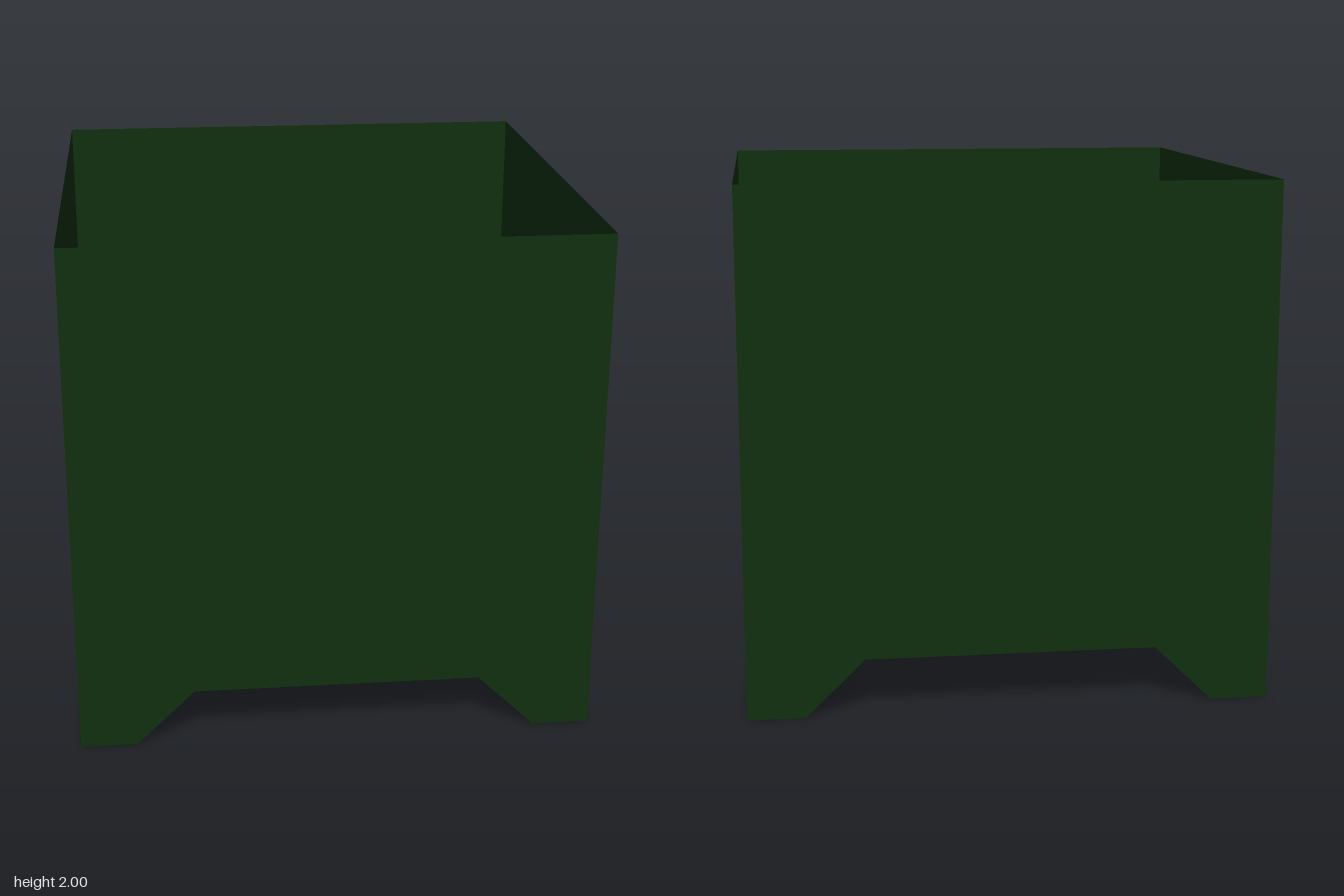
import * as THREE from 'three';

const INNER = 0.555; // where a foot meets the floor
const SOLE = 0.78;   // inner edge of the flat sole
const FLOOR = 0.22;  // floor height

// Four-cornered faces, each with a single normal taken from its diagonals
function quadGeometry(quads) {
  const positions = [], normals = [], index = [];
  quads.forEach((quad, i) => {
    const [p0, p1, p2, p3] = quad.map((p) => new THREE.Vector3(...p));
    const n = p2.clone().sub(p0).cross(p3.clone().sub(p1)).normalize();
    for (const p of [p0, p1, p2, p3]) {
      positions.push(p.x, p.y, p.z);
      normals.push(n.x, n.y, n.z);
    }
    const k = i * 4;
    index.push(k, k + 1, k + 2, k, k + 2, k + 3);
  });
  const geometry = new THREE.BufferGeometry();
  geometry.setAttribute('position', new THREE.Float32BufferAttribute(positions, 3));
  geometry.setAttribute('normal', new THREE.Float32BufferAttribute(normals, 3));
  geometry.setIndex(index);
  return geometry;
}

const outline = (points) =>
  new THREE.ShapeGeometry(new THREE.Shape(points.map(([x, y]) => new THREE.Vector2(x, y))));

export function createModel() {
  const group = new THREE.Group();
  const material = new THREE.MeshStandardMaterial({ color: 0x0f2f10, side: THREE.DoubleSide });
  const a = INNER, b = SOLE, h = FLOOR;

  const add = (name, geometry, turn = 0) => {
    const mesh = new THREE.Mesh(geometry, material);
    mesh.name = name;
    mesh.rotation.y = turn;
    group.add(mesh);
  };

  // Thin wall with the raised opening between two feet
  const wall = outline([
    [-1, 0], [-b, 0], [-a, h], [a, h], [b, 0], [1, 0], [1, 2], [-1, 2],
  ]).translate(0, 0, 1);

  // Hollow tapered foot, open to the inside of the box
  const foot = quadGeometry([
    [[b, 0, b], [1, 0, b], [1, 0, 1], [b, 0, 1]], // sole
    [[a, h, b], [b, 0, b], [b, 0, 1], [a, h, 1]], // slope along z
    [[1, h, a], [1, 0, b], [b, 0, b], [b, h, a]], // slope along x
    [[b, 0, b], [a, h, b], [a, h, a], [b, h, a]], // inner corner
  ]);

  const sides = ['front', 'left', 'back', 'right'];
  const corners = ['frontLeft', 'backLeft', 'backRight', 'frontRight'];
  for (let i = 0; i < 4; i++) {
    add(sides[i] + 'Wall', wall, i * Math.PI / 2);
    add(corners[i] + 'Foot', foot, i * Math.PI / 2);
  }

  // Cross-shaped floor that leaves the feet open
  const floor = outline([
    [-a, -1], [a, -1], [a, -a], [1, -a], [1, a], [a, a],
    [a, 1], [-a, 1], [-a, a], [-1, a], [-1, -a], [-a, -a],
  ]).rotateX(Math.PI / 2).translate(0, h, 0);
  add('floor', floor);

  return group;
}
